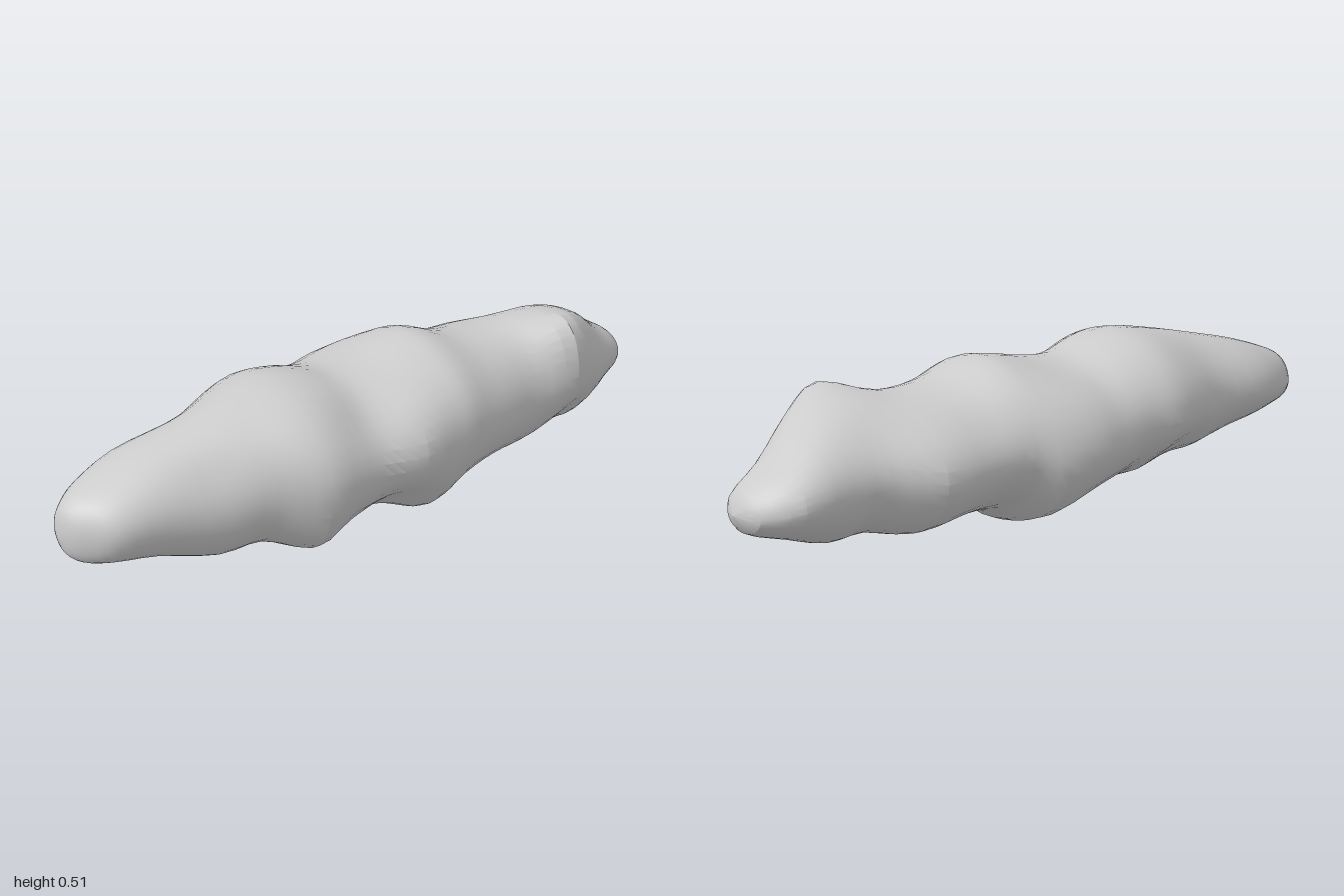
import * as THREE from 'three';
import { toCreasedNormals } from 'three/addons/utils/BufferGeometryUtils.js';

// Cross-sections along the body: z, left x, right x, bottom y, top y, x of crest, x of keel
const SECTIONS = [
  [1, -0.03, -0.03, 0.25, 0.25, -0.03, -0.03],
  [0.99, -0.07, 0.015, 0.2, 0.31, -0.03, -0.02],
  [0.96, -0.1, 0.06, 0.177, 0.345, -0.03, 0.01],
  [0.9, -0.14, 0.118, 0.168, 0.375, -0.03, 0.03],
  [0.77, -0.185, 0.15, 0.14, 0.42, -0.02, 0.03],
  [0.6, -0.19, 0.2, 0.09, 0.463, 0.01, 0.05],
  [0.47, -0.24, 0.23, 0.09, 0.492, 0, 0.05],
  [0.34, -0.28, 0.295, 0.055, 0.513, 0, 0.07],
  [0.23, -0.275, 0.295, 0.068, 0.5, 0.01, 0.05],
  [0.12, -0.29, 0.292, 0.06, 0.467, 0.02, 0.04],
  [0.01, -0.31, 0.308, 0.035, 0.472, 0.03, 0.06],
  [-0.1, -0.3, 0.292, 0.001, 0.497, 0.02, 0.07],
  [-0.19, -0.262, 0.285, 0.055, 0.505, 0.01, 0.06],
  [-0.32, -0.253, 0.26, 0.075, 0.46, 0.03, 0.02],
  [-0.48, -0.25, 0.225, 0.06, 0.452, 0.05, 0],
  [-0.62, -0.187, 0.245, 0.085, 0.477, 0.13, 0.02],
  [-0.73, -0.167, 0.2, 0.08, 0.442, 0.09, 0.02],
  [-0.87, -0.165, 0.12, 0.13, 0.345, 0, 0],
  [-0.97, -0.1, 0.065, 0.165, 0.28, -0.01, 0],
  [-1, -0.01, -0.01, 0.22, 0.22, -0.01, -0.01],
];

// Hollows (positive depth) and lumps (negative): x, y, z, radius, depth
const DENTS = [
  [0.24, 0.1, 0.04, 0.16, 0.04],
  [0.22, 0.42, 0.16, 0.13, 0.025],
  [0.22, 0.14, -0.66, 0.14, 0.03],
  [-0.23, 0.11, 0.38, 0.16, 0.035],
  [-0.18, 0.12, 0.68, 0.14, 0.02],
  [-0.16, 0.43, 0.5, 0.12, 0.012],
  [0.17, 0.4, 0.62, 0.14, 0.02],
  [-0.16, 0.42, -0.6, 0.14, 0.02],
  [-0.22, 0.4, -0.28, 0.12, 0.012],
  [0.22, 0.07, 0.34, 0.13, -0.025],
  [0.26, 0.39, -0.1, 0.13, -0.018],
  [-0.23, 0.4, 0, 0.14, -0.015],
  [0.21, 0.45, -0.6, 0.1, -0.015],
  [-0.2, 0.09, -0.05, 0.12, -0.012],
];
const SIDES = 36, STEPS = 3;

// Smooth interpolation of whole cross-sections
function sectionAt(t) {
  const last = SECTIONS.length - 1;
  const i = Math.min(Math.floor(t), last - 1), f = t - i;
  const a = SECTIONS[Math.max(i - 1, 0)], b = SECTIONS[i];
  const c = SECTIONS[i + 1], d = SECTIONS[Math.min(i + 2, last)];
  return b.map((v, k) => {
    const m0 = (c[k] - a[k]) / 2, m1 = (d[k] - v) / 2;
    const f2 = f * f, f3 = f2 * f;
    return v * (2 * f3 - 3 * f2 + 1) + m0 * (f3 - 2 * f2 + f)
      + c[k] * (3 * f2 - 2 * f3) + m1 * (f3 - f2);
  });
}

// Four unequal quarter curves joined at the crest, keel and flanks
function pointOn([z, left, right, low, high, crest, keel], angle) {
  const c = Math.cos(angle), s = Math.sin(angle);
  const midX = s >= 0 ? crest : keel;
  const midY = low + (high - low) * 0.5;
  const power = s < 0 && c < 0 ? 1.1 : 1;
  const x = midX + Math.sign(c) * Math.abs(c) ** power * (c > 0 ? right - midX : midX - left);
  const y = midY + Math.sign(s) * Math.abs(s) ** power * (s > 0 ? high - midY : midY - low);
  const p = new THREE.Vector3(x, y, z);
  const inward = new THREE.Vector3(midX - x, midY - y, 0).normalize();
  for (const [hx, hy, hz, radius, depth] of DENTS) {
    const d2 = (x - hx) ** 2 + (y - hy) ** 2 + (z - hz) ** 2;
    p.addScaledVector(inward, depth * Math.exp(-d2 / (radius * radius) * 1.5));
  }
  return p;
}

function bodyGeometry() {
  const rows = (SECTIONS.length - 1) * STEPS;
  const positions = [], index = [];
  for (let i = 0; i <= rows; i++) {
    const section = sectionAt(i / STEPS);
    for (let j = 0; j < SIDES; j++) {
      const end = i === 0 || i === rows;
      const p = end ? new THREE.Vector3(section[1], section[3], section[0])
        : pointOn(section, j / SIDES * Math.PI * 2);
      positions.push(p.x, p.y, p.z);
    }
  }
  for (let i = 0; i < rows; i++) {
    for (let j = 0; j < SIDES; j++) {
      const k = (j + 1) % SIDES;
      const a = i * SIDES + j, b = i * SIDES + k;
      const c = a + SIDES, d = b + SIDES;
      if (i > 0) index.push(a, c, b);
      if (i < rows - 1) index.push(b, c, d);
    }
  }
  const geometry = new THREE.BufferGeometry();
  geometry.setAttribute('position', new THREE.Float32BufferAttribute(positions, 3));
  geometry.setIndex(index);
  return toCreasedNormals(geometry, 0.35);
}

export function createModel() {
  const group = new THREE.Group();
  group.name = 'elongatedRock';
  const body = new THREE.Mesh(bodyGeometry(), new THREE.MeshStandardMaterial({ color: 0xcccccc }));
  body.name = 'rockBody';
  group.add(body);
  return group;
}
